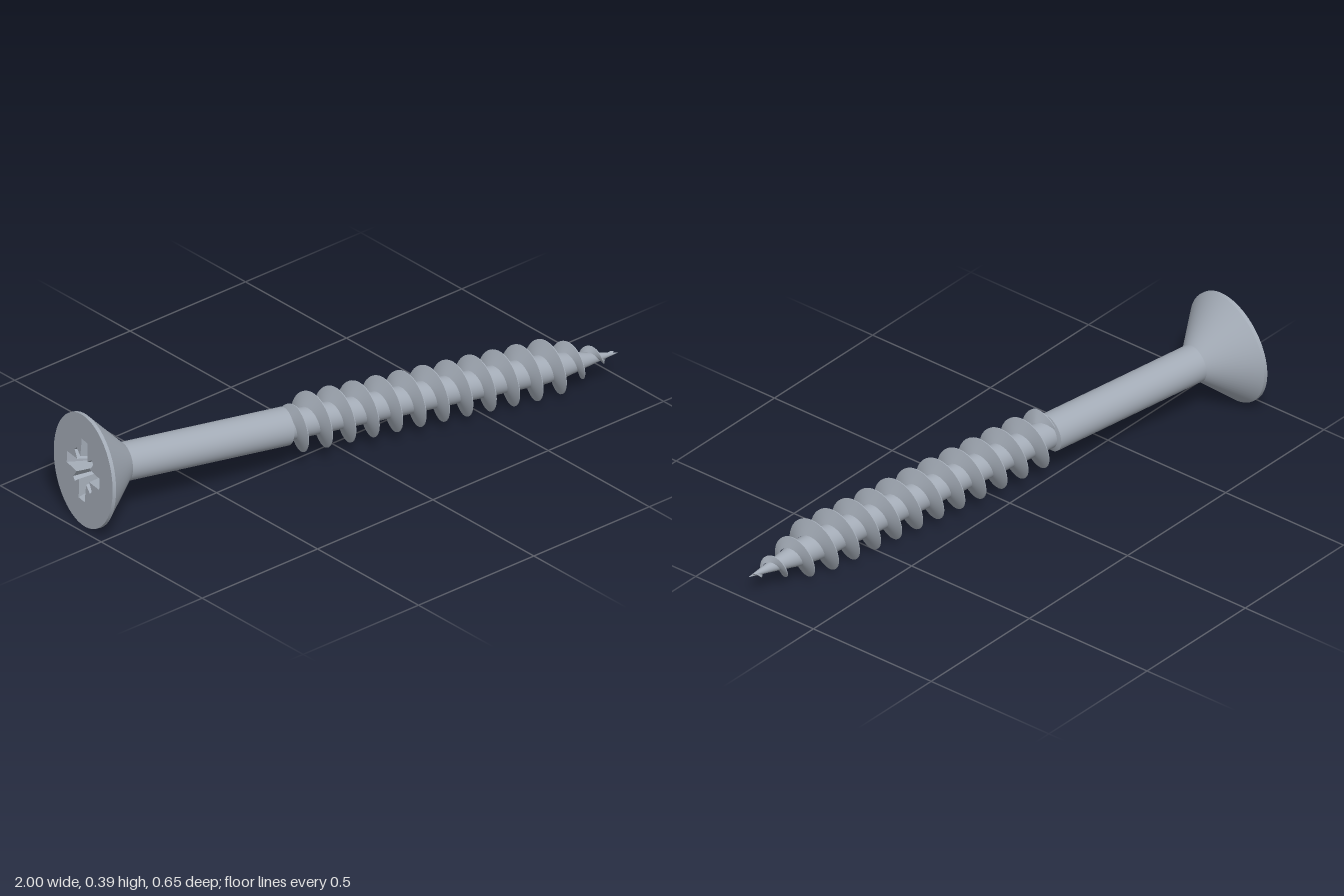
import * as THREE from 'three';

const HEAD_R = 0.195, SHANK_R = 0.065, CORE_R = 0.05, CREST_R = 0.099;
const THREAD_START = 0.755, LENGTH = 2.005, PITCH = 0.0877;

// Linear interpolation through [t, radius] stations
function sample(stations, t) {
  for (let i = 1; i < stations.length; i++) {
    const [t0, r0] = stations[i - 1], [t1, r1] = stations[i];
    if (t <= t1) return THREE.MathUtils.lerp(r0, r1, Math.max(0, (t - t0) / (t1 - t0)));
  }
  return stations[stations.length - 1][1];
}
const coreStations = [[THREAD_START, CORE_R], [1.72, CORE_R], [1.8, 0.042], [1.9, 0.021], [LENGTH, 0.0005]];
const crestStations = [[THREAD_START, CORE_R], [0.775, 0.094], [0.84, CREST_R], [1.755, CREST_R],
  [1.83, 0.07], [1.92, 0.036], [LENGTH, 0.001]];

// Surface of revolution around the screw axis (local +Y, head at 0)
const lathe = (points) => new THREE.LatheGeometry(points.map(([t, r]) => new THREE.Vector2(r, t)), 64);

// Helical ridge: two flanks and a narrow crest, each with its own vertices for sharp edges
function threadGeometry() {
  const positions = [], index = [];
  const steps = 640, end = 1.99;
  for (let face = 0; face < 3; face++) {
    const base = positions.length / 3;
    for (let i = 0; i <= steps; i++) {
      const t = THREE.MathUtils.lerp(THREAD_START, end, i / steps);
      const phi = ((t - 0.067) / PITCH) * Math.PI * 2;
      const core = sample(coreStations, t) * 0.97;
      const crest = Math.max(core, sample(crestStations, t));
      const half = 0.002 + 0.36 * (crest - core);
      const section = [[-half, core], [-0.0015, crest], [0.0015, crest], [half, core]];
      for (const [dt, r] of [section[face], section[face + 1]]) {
        positions.push(r * Math.cos(phi), Math.max(t + dt, THREAD_START - 0.01), -r * Math.sin(phi));
      }
      if (i < steps) {
        const a = base + i * 2;
        index.push(a, a + 2, a + 3, a, a + 3, a + 1);
      }
    }
  }
  const geometry = new THREE.BufferGeometry();
  geometry.setAttribute('position', new THREE.Float32BufferAttribute(positions, 3));
  geometry.setIndex(index);
  geometry.computeVertexNormals();
  return geometry;
}

// Cross-shaped drive outline with small diagonal notches
function driveOutline(scale) {
  const quadrant = [[0.108, -0.02], [0.108, 0.02], [0.042, 0.023], [0.062, 0.05], [0.05, 0.062], [0.023, 0.042]];
  const points = [];
  for (let q = 0; q < 4; q++) {
    for (const [x, y] of quadrant) {
      points.push(new THREE.Vector2(x * scale, y * scale).rotateAround(new THREE.Vector2(), q * Math.PI / 2));
    }
  }
  return points;
}

// Tapering side walls of the drive recess
function recessWalls(top, bottom, depth) {
  const positions = [];
  top.forEach((a, i) => {
    const k = (i + 1) % top.length;
    const b = top[k], c = bottom[k], d = bottom[i];
    positions.push(a.x, a.y, 0, b.x, b.y, 0, c.x, c.y, -depth);
    positions.push(a.x, a.y, 0, c.x, c.y, -depth, d.x, d.y, -depth);
  });
  const geometry = new THREE.BufferGeometry();
  geometry.setAttribute('position', new THREE.Float32BufferAttribute(positions, 3));
  geometry.computeVertexNormals();
  return geometry;
}

export function createModel() {
  const steel = new THREE.MeshStandardMaterial({ color: 0xa3abb6 });
  steel.name = 'steel';
  const screw = new THREE.Group();
  screw.name = 'screw';
  const add = (name, geometry) => {
    const mesh = new THREE.Mesh(geometry, steel);
    mesh.name = name;
    screw.add(mesh);
  };

  // Countersunk head
  add('headRim', lathe([[0, HEAD_R], [0.013, HEAD_R]]));
  add('headCone', lathe([[0.013, HEAD_R], [0.15, SHANK_R]]));

  // Flat head face with the drive recess
  const depth = 0.095;
  const outer = driveOutline(1), inner = driveOutline(0.6);
  const disc = new THREE.Shape().absarc(0, 0, HEAD_R, 0, Math.PI * 2);
  disc.holes.push(new THREE.Path(outer));
  add('headFace', new THREE.ShapeGeometry(disc, 32).rotateX(Math.PI / 2));
  add('recessWalls', recessWalls(outer, inner, depth).rotateX(Math.PI / 2));
  add('recessFloor', new THREE.ShapeGeometry(new THREE.Shape(inner)).translate(0, 0, -depth).rotateX(Math.PI / 2));

  // Smooth shank and the step down to the threaded core
  add('shank', lathe([[0.15, SHANK_R], [THREAD_START, SHANK_R]]));
  add('shankStep', lathe([[THREAD_START, SHANK_R], [THREAD_START + 0.006, CORE_R * 0.98]]));

  // Threaded core with pointed tip
  add('core', lathe(coreStations));
  add('thread', threadGeometry());

  // Lay the screw along its tilted axis
  const axis = new THREE.Vector3(1.96, -0.107, 0.41).normalize();
  const up = new THREE.Vector3(0, 1, 0);
  up.addScaledVector(axis, -up.dot(axis)).normalize();
  const side = new THREE.Vector3().crossVectors(up, axis);
  screw.quaternion.setFromRotationMatrix(new THREE.Matrix4().makeBasis(up, axis, side));
  screw.position.set(-0.96, 0.195, -0.135);

  const model = new THREE.Group();
  model.name = 'woodScrew';
  model.add(screw);
  return model;
}
